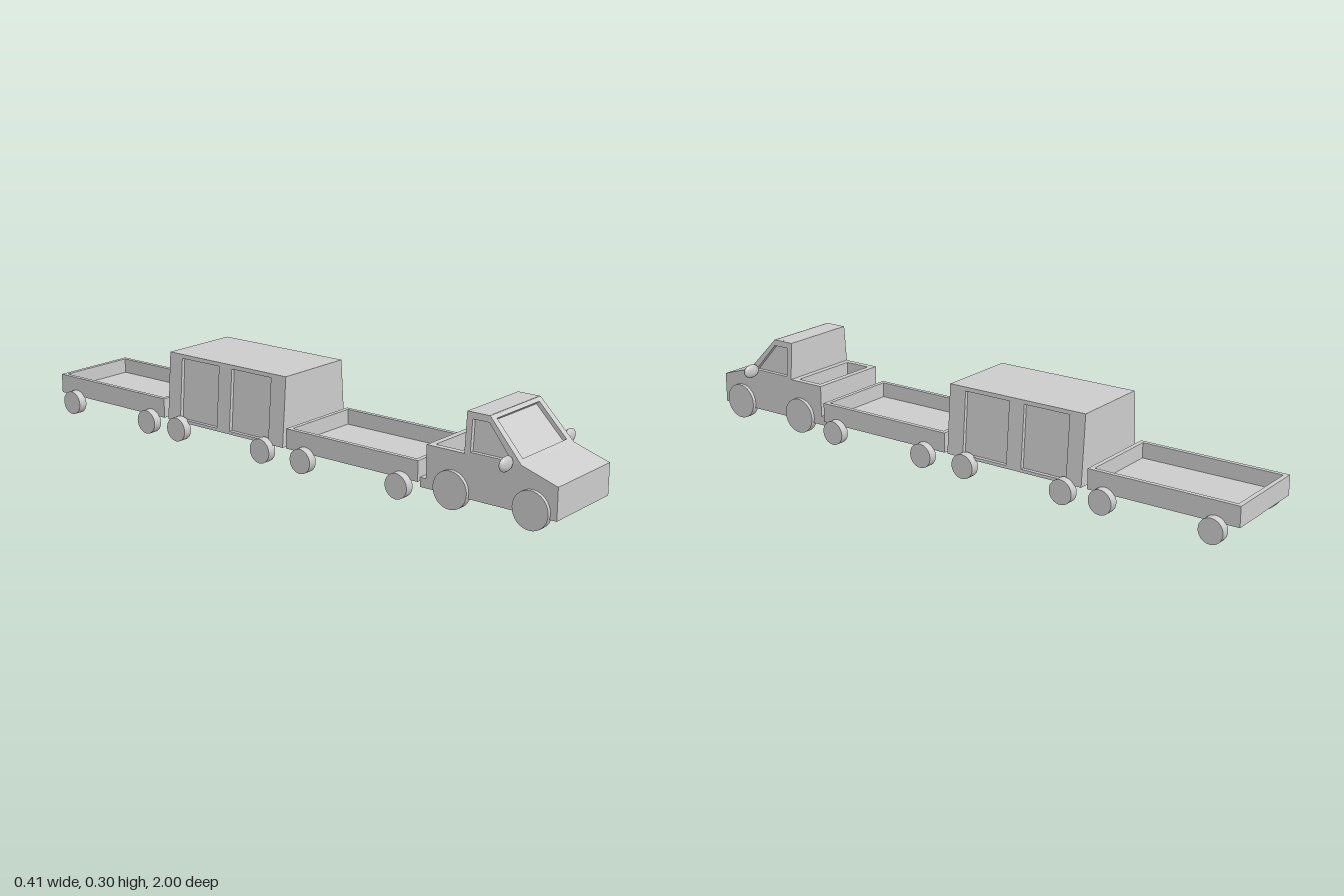
import * as THREE from 'three';

const grey = new THREE.MeshStandardMaterial({ color: 0xcccccc });

function add(parent, name, geometry) {
  const mesh = new THREE.Mesh(geometry, grey);
  mesh.name = name;
  parent.add(mesh);
  return mesh;
}

const polygon = (points) => new THREE.Shape(points.map(([a, b]) => new THREE.Vector2(a, b)));

const rectangle = (a0, b0, a1, b1) => polygon([[a0, b0], [a1, b0], [a1, b1], [a0, b1]]);

const extrude = (shape, depth) => new THREE.ExtrudeGeometry(shape, { depth, bevelEnabled: false });

// side profile in (z, y), extruded from x0 to x1
const prism = (shape, x0, x1) => extrude(shape, x1 - x0).rotateY(-Math.PI / 2).translate(x1, 0, 0);

// narrows a geometry towards the top, starting at height y0
function taper(geometry, y0, rate) {
  const p = geometry.attributes.position;
  for (let i = 0; i < p.count; i++) {
    p.setX(i, p.getX(i) * (1 - rate * Math.max(0, p.getY(i) - y0)));
  }
  geometry.computeVertexNormals();
  return geometry;
}

// solid core with an outer skin on each side, pierced by recessed windows
function taperedShell(parent, name, core, skin, half, recess, y0, rate) {
  add(parent, name + 'Core', taper(prism(core, recess - half, half - recess), y0, rate));
  add(parent, name + 'LeftSide', taper(prism(skin, half - recess, half), y0, rate));
  add(parent, name + 'RightSide', taper(prism(skin, -half, recess - half), y0, rate));
}

// open box: rim walls around a floor
function tray(parent, name, z0, z1, half, y0, y1, floorY, wall) {
  const rim = rectangle(-half, -z1, half, -z0);
  rim.holes.push(rectangle(wall - half, wall - z1, half - wall, -z0 - wall));
  add(parent, name + 'Walls', extrude(rim, y1 - y0).rotateX(-Math.PI / 2).translate(0, y0, 0));
  const floor = new THREE.BoxGeometry(2 * (half - wall), floorY - y0, z1 - z0 - 2 * wall);
  add(parent, name + 'Floor', floor.translate(0, (y0 + floorY) / 2, (z0 + z1) / 2));
}

function wheels(parent, positions, radius, xInner, xOuter) {
  for (const z of positions) {
    for (const side of [1, -1]) {
      const g = new THREE.CylinderGeometry(radius, radius, xOuter - xInner, 32).rotateZ(Math.PI / 2);
      add(parent, 'wheel', g).position.set(side * (xInner + xOuter) / 2, radius, z);
    }
  }
}

function createTruck() {
  const truck = new THREE.Group();
  truck.name = 'truck';
  const half = 0.142;

  // nose, hood and lower cab
  const lower = polygon([[0.69, 0.042], [1, 0.042], [1, 0.142], [0.88, 0.18], [0.69, 0.18]]);
  add(truck, 'lowerBody', prism(lower, -half, half));

  // cab with recessed side windows
  const core = polygon([[0.69, 0.18], [0.862, 0.18], [0.765, 0.283], [0.765, 0.3], [0.69, 0.3]]);
  const skin = polygon([[0.69, 0.18], [0.88, 0.18], [0.767, 0.3], [0.69, 0.3]]);
  skin.holes.push(polygon([[0.71, 0.183], [0.85, 0.183], [0.766, 0.28], [0.71, 0.28]]));
  taperedShell(truck, 'cab', core, skin, half, 0.014, 0.18, 0.527);

  // sloping frame around the windshield
  const length = Math.hypot(0.113, 0.12);
  const frame = polygon([[-half, 0], [half, 0], [0.133, length], [-0.133, length]]);
  frame.holes.push(polygon([[-0.118, 0.016], [0.118, 0.016], [0.112, 0.151], [-0.112, 0.151]]));
  const windshield = add(truck, 'windshieldFrame', extrude(frame, 0.014).translate(0, 0, -0.014));
  windshield.position.set(0, 0.18, 0.88);
  windshield.rotation.x = -Math.atan2(0.113, 0.12);

  // cargo bed and rear step
  tray(truck, 'bed', 0.558, 0.69, half, 0.042, 0.176, 0.105, 0.02);
  add(truck, 'rearStep', new THREE.BoxGeometry(2 * half, 0.03, 0.022)).position.set(0, 0.057, 0.549);

  // mirrors
  for (const side of [1, -1]) {
    const mirror = add(truck, 'mirror', new THREE.SphereGeometry(1, 10, 8).rotateZ(Math.PI / 2));
    mirror.scale.set(0.033, 0.024, 0.011);
    mirror.position.set(side * 0.17, 0.184, 0.847);
    mirror.rotation.z = side * 0.08;
  }

  wheels(truck, [0.92, 0.65], 0.059, 0.13, 0.154);
  return truck;
}

function createTrailer(z0, z1) {
  const trailer = new THREE.Group();
  trailer.name = 'openTrailer';
  tray(trailer, 'trailer', z0, z1, 0.153, 0.06, 0.125, 0.075, 0.015);
  wheels(trailer, [z1 - 0.06, z0 + 0.077], 0.04, 0.15, 0.18);
  return trailer;
}

function createWagon() {
  const wagon = new THREE.Group();
  wagon.name = 'coveredWagon';
  const core = rectangle(-0.478, 0.06, 0.02, 0.286);
  const skin = rectangle(-0.478, 0.06, 0.02, 0.286);
  // two recessed doors on each side
  skin.holes.push(rectangle(-0.205, 0.07, -0.04, 0.273), rectangle(-0.423, 0.07, -0.26, 0.273));
  taperedShell(wagon, 'wagon', core, skin, 0.155, 0.013, 0.06, 0.487);
  wheels(wagon, [-0.055, -0.42], 0.04, 0.15, 0.18);
  return wagon;
}

export function createModel() {
  const model = new THREE.Group();
  model.name = 'truckWithTrailers';
  model.add(createTruck(), createTrailer(0.033, 0.537), createWagon(), createTrailer(-1, -0.498));
  return model;
}
